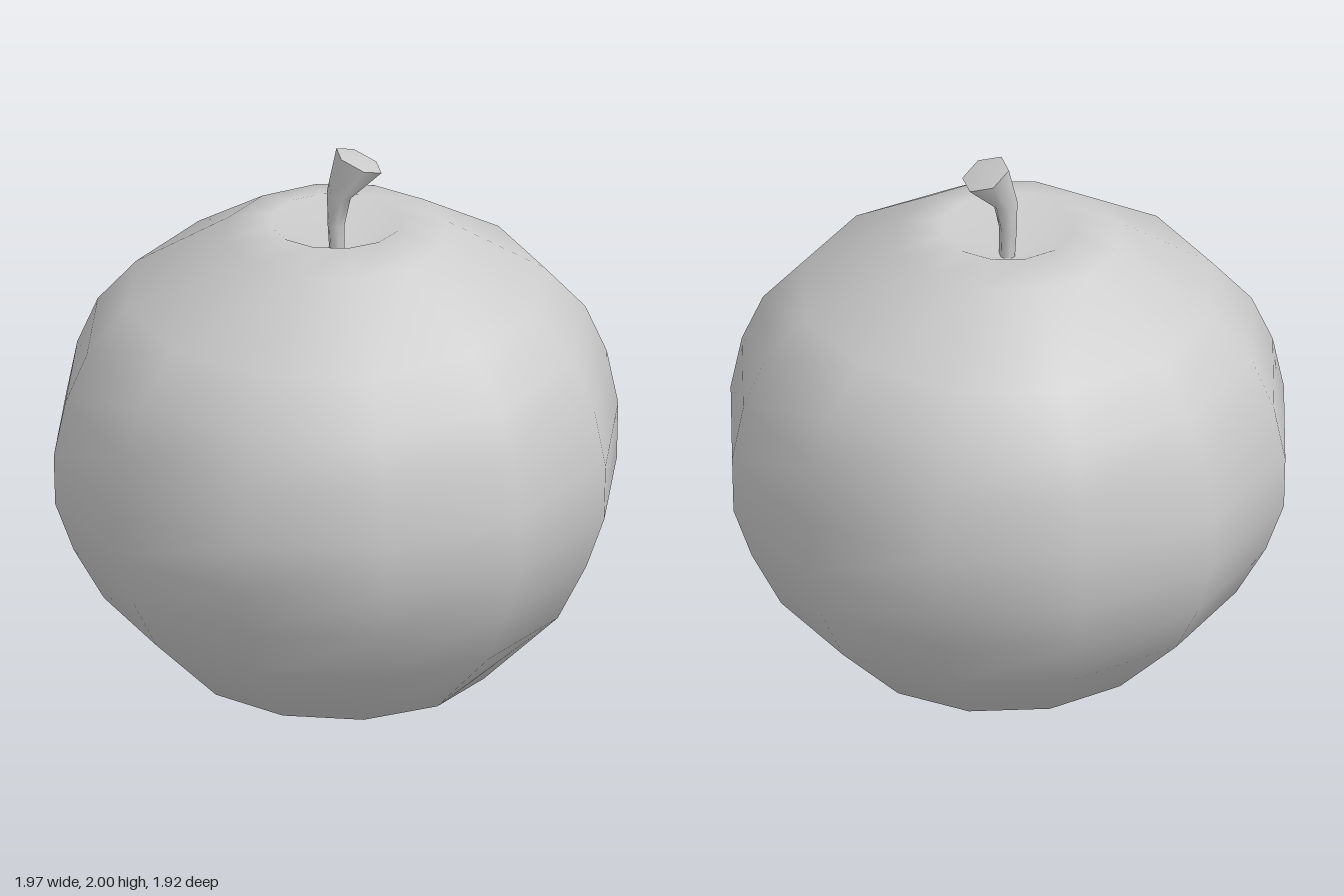
import * as THREE from 'three';
import { mergeVertices } from 'three/addons/utils/BufferGeometryUtils.js';

// Skin a stack of rings (bottom to top); point(i, angle) gives each corner.
function loft(rings, sides, point, startAngle = 0) {
  const pos = [], index = [];
  for (let i = 0; i < rings; i++) {
    for (let j = 0; j < sides; j++) {
      pos.push(...point(i, startAngle + (j / sides) * Math.PI * 2));
      if (i === rings - 1) continue;
      const k = (j + 1) % sides;
      const a = i * sides + j, b = i * sides + k;
      index.push(a, b, b + sides, a, b + sides, a + sides);
    }
  }
  const geo = new THREE.BufferGeometry();
  geo.setAttribute('position', new THREE.Float32BufferAttribute(pos, 3));
  geo.setIndex(index);
  const merged = mergeVertices(geo, 1e-5); // joins the poles
  merged.computeVertexNormals();
  return merged;
}

export function createModel() {
  const group = new THREE.Group();
  const material = new THREE.MeshStandardMaterial({ color: 0xcccccc });
  const add = (name, geometry) => {
    const mesh = new THREE.Mesh(geometry, material);
    mesh.name = name;
    group.add(mesh);
  };

  // Fruit body: [radius, height, lean], with a dimple at each end
  const profile = [
    [0, 0.05, 0], [0.18, 0.015, -0.04], [0.54, 0.11, -0.02], [0.81, 0.38, -0.012],
    [0.915, 0.58, 0], [0.98, 0.765, 0.005], [0.985, 0.96, 0.018], [0.945, 1.16, 0.02],
    [0.87, 1.335, 0.022], [0.73, 1.495, 0.02], [0.39, 1.71, 0.015], [0.23, 1.75, 0],
    [0, 1.62, 0],
  ];
  add('fruitBody', loft(profile.length, 12, (i, t) => {
    const [r, y, lean] = profile[i];
    const x = r * Math.cos(t), z = -r * Math.sin(t) * 0.975;
    return [x, y + lean * x - Math.abs(lean) * 0.8 * z, z];
  }));

  // Stem: [centre x, centre y, radius, tilt], flaring and bending to +x
  const stem = [
    [0.005, 1.58, 0.028, 0], [0, 1.74, 0.033, 0],
    [0.01, 1.85, 0.047, 0.2], [0.08, 1.972, 0.095, 0.42],
  ];
  const stemPoint = (i, t) => {
    const [cx, cy, r, tilt] = stem[i];
    const u = r * Math.cos(t) * 0.93;
    return [cx + u * Math.cos(tilt), cy - u * Math.sin(tilt), -r * Math.sin(t)];
  };
  add('stem', loft(stem.length, 6, stemPoint, Math.PI / 6));

  // Cut end of the stem, slightly domed
  add('stemEnd', loft(2, 6, (i, t) => (i ? [0.084, 1.981, 0] : stemPoint(3, t)), Math.PI / 6));

  return group;
}
